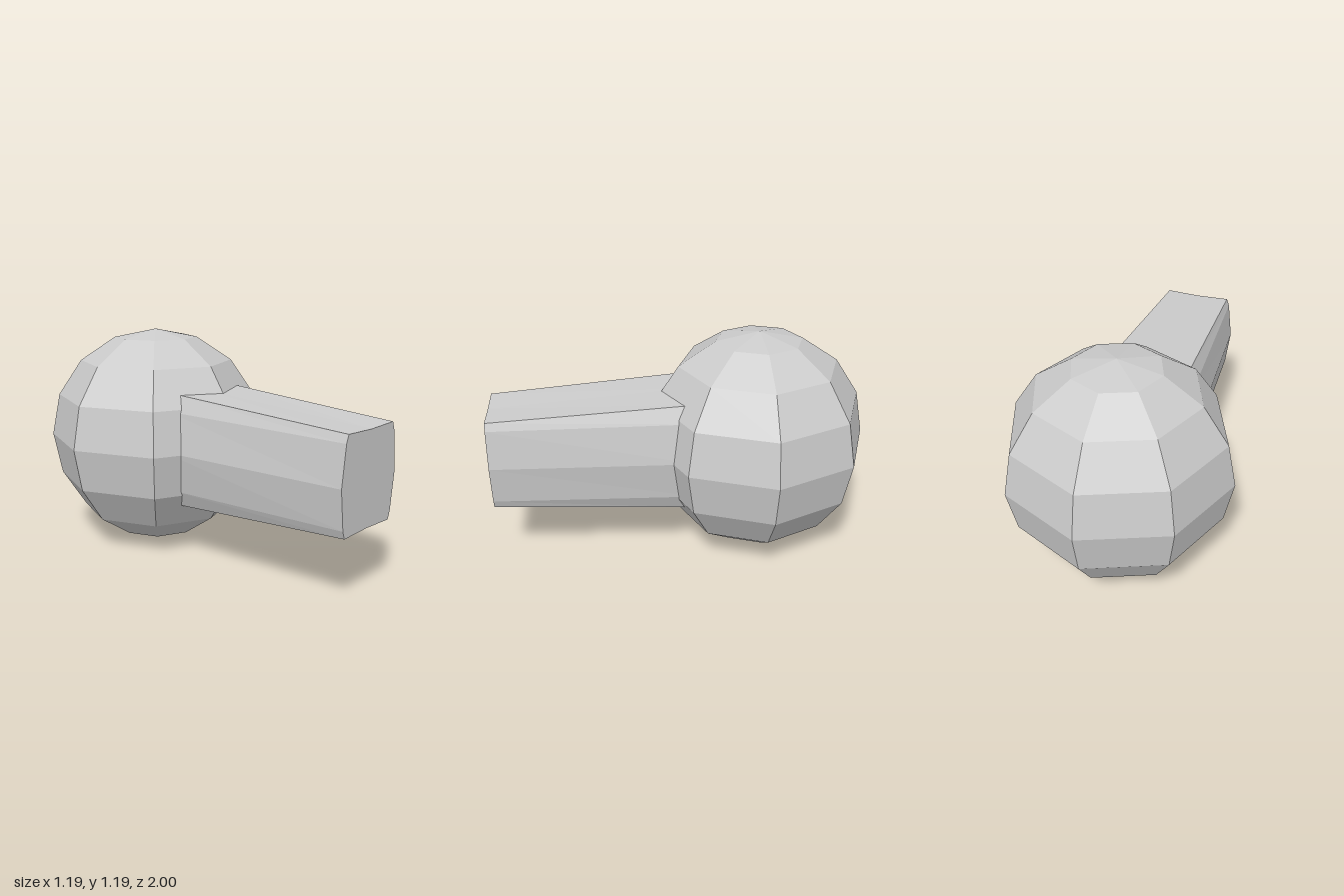
import * as THREE from 'three';

// Closed arm cross-section (counter-clockwise from +z) mirrored from one quadrant
function ring(quadrant, z) {
  const [side, shoulder, corner, top] = quadrant;
  const half = [side, shoulder, corner, top,
    ...[corner, shoulder, side].map(([x, y]) => [-x, y])];
  const lower = [shoulder, corner, top].map(([x, y]) => [-x, -y]);
  lower.push(...[corner, shoulder].map(([x, y]) => [x, -y]));
  return [...half, ...lower].map(([x, y]) => [x, y + 0.6, z]);
}

// Tapered arm lofted between two rings, capped at both ends
function armGeometry() {
  const back = ring([[0.292, 0], [0.26, 0.21], [0.222, 0.298], [0, 0.297]], -0.05);
  const front = ring([[0.225, 0], [0.2, 0.2], [0.185, 0.24], [0, 0.234]], 1);
  const n = back.length;
  const positions = [...back, ...front, [0, 0.6, -0.05], [0, 0.6, 1]].flat();
  const index = [];
  for (let i = 0; i < n; i++) {
    const j = (i + 1) % n;
    index.push(i, j, n + j, i, n + j, n + i);
    index.push(2 * n, j, i, 2 * n + 1, n + i, n + j);
  }
  const g = new THREE.BufferGeometry();
  g.setAttribute('position', new THREE.Float32BufferAttribute(positions, 3));
  g.setIndex(index);
  g.computeVertexNormals();
  return g;
}

export function createModel() {
  const group = new THREE.Group();
  const material = new THREE.MeshStandardMaterial({ color: 0xcccccc, flatShading: true });

  // Faceted ball
  const ball = new THREE.Mesh(new THREE.SphereGeometry(0.595, 8, 8), material);
  ball.name = 'ball';
  ball.position.set(0, 0.6, -0.405);
  group.add(ball);

  // Arm growing out of the ball's front
  const arm = new THREE.Mesh(armGeometry(), material);
  arm.name = 'arm';
  group.add(arm);

  return group;
}
